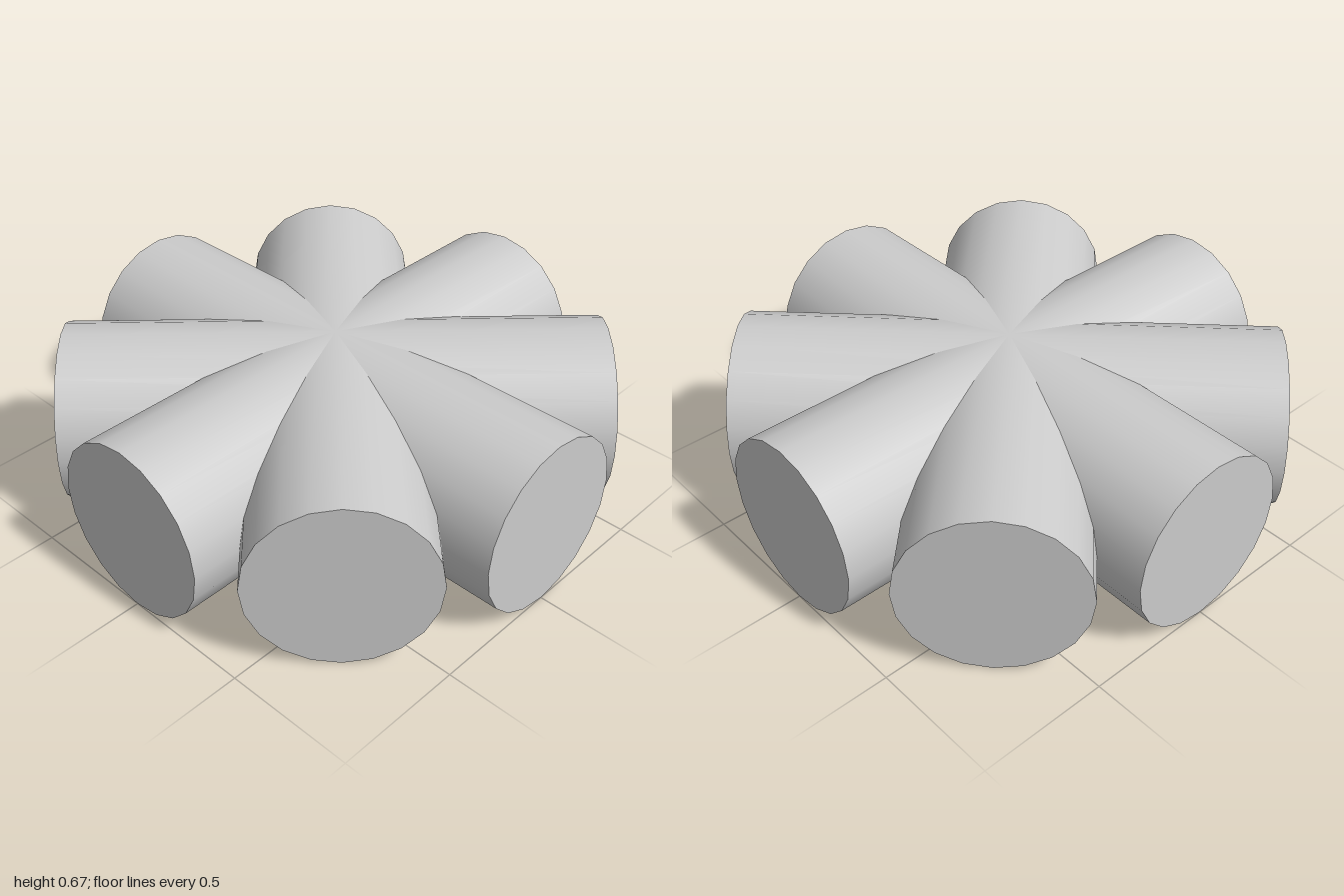
import * as THREE from 'three';

export function createModel() {
  const group = new THREE.Group();
  group.name = 'crossedCylinders';
  const material = new THREE.MeshStandardMaterial({ color: 0xcccccc });
  const radius = 1 / 3;
  const count = 4;

  // One horizontal cylinder along z, with smooth sides and flat caps
  const geometry = new THREE.CylinderGeometry(radius, radius, 2, 20);
  geometry.rotateX(Math.PI / 2);

  // Four full-length cylinders crossing at the centre, 45 degrees apart
  for (let i = 0; i < count; i++) {
    const bar = new THREE.Mesh(geometry, material);
    bar.name = `crossingCylinder${i + 1}`;
    bar.position.y = radius;
    bar.rotation.y = (i * Math.PI) / count;
    group.add(bar);
  }
  return group;
}
